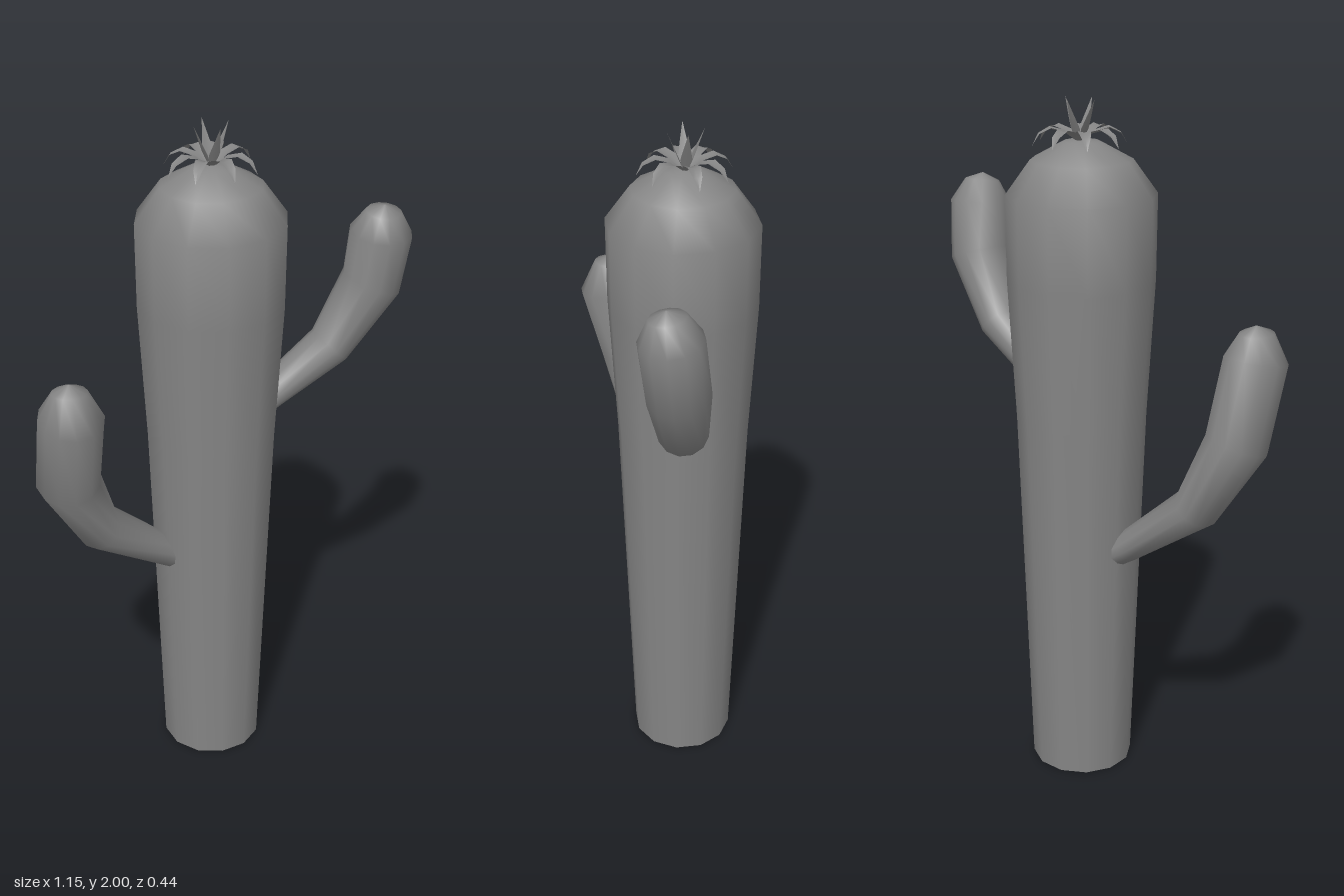
import * as THREE from 'three';

const SIDES = 12;
const AXIS_Z = -0.017;
const material = new THREE.MeshStandardMaterial({ color: 0x868686, side: THREE.DoubleSide });

// Skin rows of equal length, given as arrays of Vector3
function skin(rows, closed) {
  const n = rows[0].length, index = [];
  for (let i = 0; i < rows.length - 1; i++) {
    for (let j = 0; j < (closed ? n : n - 1); j++) {
      const a = i * n + j, b = i * n + ((j + 1) % n);
      index.push(a, b, a + n, b, b + n, a + n);
    }
  }
  const geometry = new THREE.BufferGeometry().setFromPoints(rows.flat());
  geometry.setIndex(index);
  geometry.computeVertexNormals();
  return geometry;
}

// Arm swept through stations [x, y, z, radius, depthRadius]
function arm(name, stations) {
  const centres = stations.map(s => new THREE.Vector3(s[0], s[1], s[2]));
  const rows = stations.map(([, , , r, depth], i) => {
    const t = centres[Math.min(i + 1, centres.length - 1)].clone()
      .sub(centres[Math.max(i - 1, 0)]).normalize();
    const u = new THREE.Vector3(0, 0, 1).addScaledVector(t, -t.z).normalize();
    const v = new THREE.Vector3().crossVectors(t, u);
    return Array.from({ length: SIDES }, (_, j) => {
      const a = ((j + 0.5) / SIDES) * Math.PI * 2;
      return centres[i].clone()
        .addScaledVector(u, Math.cos(a) * depth)
        .addScaledVector(v, Math.sin(a) * r);
    });
  });
  const mesh = new THREE.Mesh(skin(rows, true), material);
  mesh.name = name;
  return mesh;
}

// Thin petal along +z through stations [distance, height, halfWidth]
function petalGeometry(stations) {
  return skin(stations.map(([d, y, w]) => [
    new THREE.Vector3(-w, y, d),
    new THREE.Vector3(0, y - w * 0.25, d),
    new THREE.Vector3(w, y, d),
  ]), false);
}

// Petals at the given compass angles, in degrees from +x
function petalRing(name, geometry, angles) {
  const ring = new THREE.Group();
  ring.name = name;
  for (const angle of angles) {
    const petal = new THREE.Mesh(geometry, material);
    petal.name = 'petal';
    petal.rotation.y = THREE.MathUtils.degToRad(angle + 90);
    ring.add(petal);
  }
  return ring;
}

export function createModel() {
  const model = new THREE.Group();
  model.name = 'cactus';

  // Trunk, open underneath, with a domed top
  const profile = [
    [0.15, 0], [0.187, 1.1], [0.209, 1.5], [0.211, 1.74],
    [0.142, 1.835], [0.05, 1.885], [0, 1.89],
  ].map(p => new THREE.Vector2(...p));
  const trunk = new THREE.Mesh(
    new THREE.LatheGeometry(profile, SIDES, Math.PI / SIDES), material);
  trunk.name = 'trunk';
  trunk.position.set(0.002, 0, AXIS_Z);
  model.add(trunk);

  // Arms, both bending up and slightly forward
  model.add(arm('leftArm', [
    [0.1, 1.13, 0.01, 0.04, 0.045],
    [0.18, 1.182, 0.013, 0.045, 0.053],
    [0.36, 1.303, 0.035, 0.063, 0.068],
    [0.473, 1.492, 0.065, 0.088, 0.086],
    [0.484, 1.645, 0.084, 0.091, 0.086],
    [0.484, 1.708, 0.093, 0.05, 0.05],
    [0.484, 1.728, 0.096, 0, 0],
  ]));
  model.add(arm('rightArm', [
    [-0.1, 0.685, -0.015, 0.04, 0.058],
    [-0.18, 0.742, -0.013, 0.046, 0.068],
    [-0.385, 0.902, 0.02, 0.066, 0.09],
    [-0.484, 1.105, 0.064, 0.088, 0.102],
    [-0.492, 1.328, 0.13, 0.089, 0.095],
    [-0.492, 1.405, 0.128, 0.048, 0.05],
    [-0.492, 1.427, 0.125, 0, 0],
  ]));

  // Flower: drooping outer petals around four upright ones
  const flower = new THREE.Group();
  flower.name = 'flower';
  flower.position.set(0.004, 0, AXIS_Z - 0.005);
  flower.add(petalRing('outerPetals', petalGeometry([
    [0.005, 1.885, 0.01], [0.04, 1.913, 0.018], [0.08, 1.924, 0.018],
    [0.112, 1.908, 0.012], [0.131, 1.875, 0],
  ]), [8, 50, 96, 139, 183, 224, 270, 311]));
  flower.add(petalRing('innerPetals', petalGeometry([
    [0.004, 1.885, 0.008], [0.018, 1.92, 0.016],
    [0.034, 1.957, 0.009], [0.052, 2.0, 0],
  ]), [0, 90, 180, 270]));
  model.add(flower);

  return model;
}
